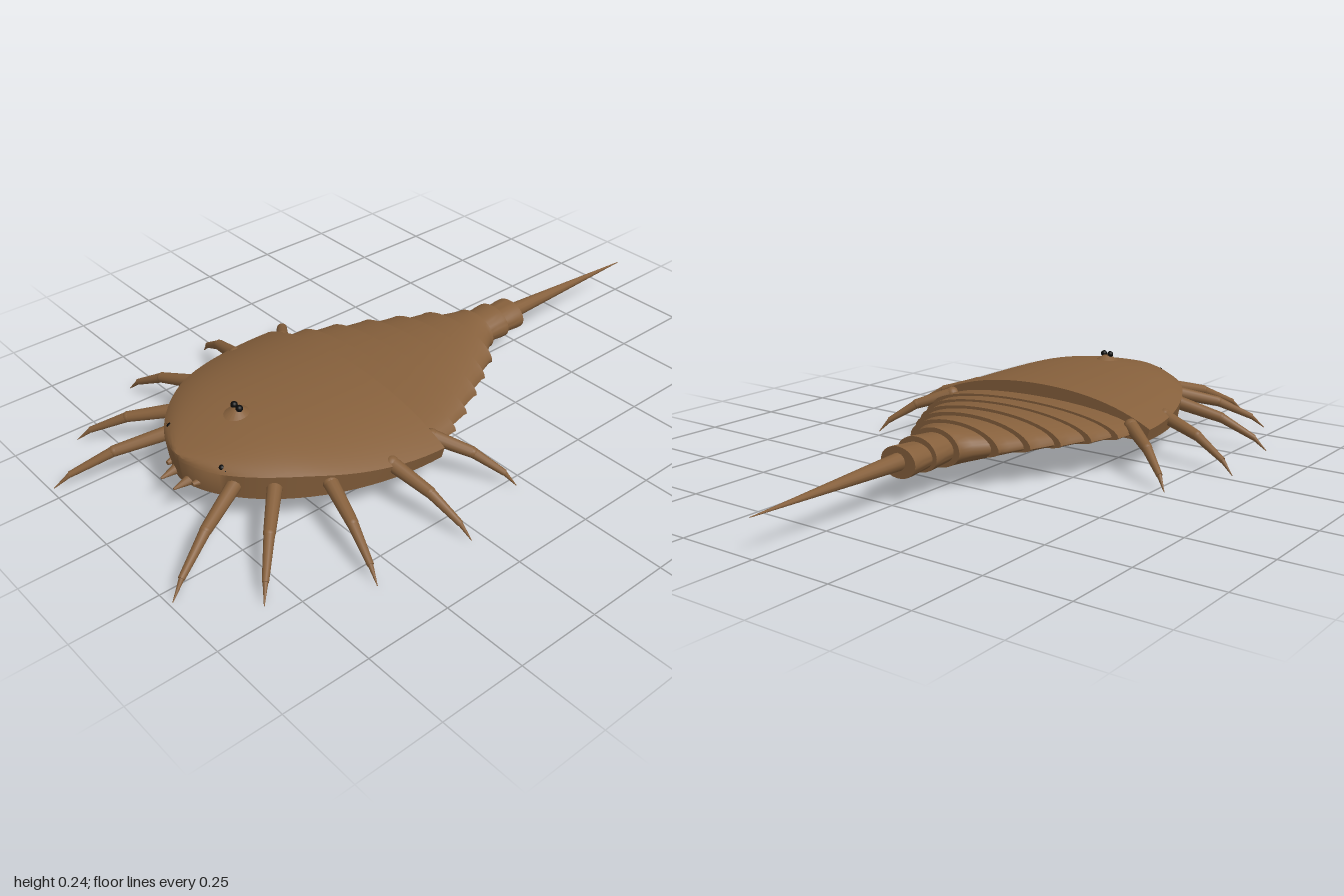
import * as THREE from 'three';
import { toCreasedNormals } from 'three/addons/utils/BufferGeometryUtils.js';

const shell = new THREE.MeshStandardMaterial({ color: 0x86603c });
shell.name = 'brown shell';
const eyeBlack = new THREE.MeshStandardMaterial({ color: 0x0a0a0a });
eyeBlack.name = 'eye black';

// Skin closed rings (anticlockwise seen from +z, ordered from back to front) and cap both ends
function loft(rings, crease = 0.7) {
  const n = rings[0].length, pos = [], index = [];
  rings.forEach(r => r.forEach(p => pos.push(...p)));
  for (let i = 0; i < rings.length - 1; i++) {
    for (let j = 0; j < n; j++) {
      const a = i * n + j, b = i * n + (j + 1) % n;
      index.push(a, b, a + n, b, b + n, a + n);
    }
  }
  [0, rings.length - 1].forEach(i => {
    const c = pos.length / 3;
    const mid = rings[i].reduce((m, p) => m.map((v, k) => v + p[k] / n), [0, 0, 0]);
    pos.push(...mid);
    for (let j = 0; j < n; j++) {
      const a = i * n + j, b = i * n + (j + 1) % n;
      if (i === 0) index.push(c, b, a); else index.push(c, a, b);
    }
  });
  const g = new THREE.BufferGeometry();
  g.setAttribute('position', new THREE.Float32BufferAttribute(pos, 3));
  g.setIndex(index);
  return toCreasedNormals(g, crease);
}

function add(parent, name, geometry, material = shell) {
  const m = new THREE.Mesh(geometry, material);
  m.name = name;
  parent.add(m);
  return m;
}

// Tapered round rod between two points
function rod(parent, name, a, b, ra, rb) {
  const A = new THREE.Vector3(...a), B = new THREE.Vector3(...b);
  const d = B.clone().sub(A);
  const m = add(parent, name, new THREE.CylinderGeometry(rb, ra, d.length(), 12));
  m.position.copy(A).addScaledVector(d, 0.5);
  m.quaternion.setFromUnitVectors(new THREE.Vector3(0, 1, 0), d.normalize());
  return m;
}

function ball(parent, name, p, r, material = shell, scale = [1, 1, 1]) {
  const m = add(parent, name, new THREE.SphereGeometry(r, 16, 12), material);
  m.position.set(...p);
  m.scale.set(...scale);
  return m;
}

// Domed shield with a flat underside and a low rim
function carapaceGeometry() {
  const rings = [], N = 32;
  for (let i = 0; i <= 28; i++) {
    const t = Math.sin((i / 28) * Math.PI / 2);
    const z = 0.18 + 0.59 * t;
    const w = Math.max(0.008, 0.395 * Math.pow(1 - t * t, 0.58));
    const f = Math.max(0, (z - 0.55) / 0.22);
    const ring = [];
    for (let j = 0; j <= N; j++) {
      const s = Math.cos(Math.PI * j / N), x = s * w;
      const y = 0.217 + 0.01 * Math.min(1, t * 1.8)
        - 0.06 * (x / 0.395) ** 2 - 0.04 * f ** 1.5 - 0.022 * s ** 4;
      ring.push([x, y, z]);
    }
    for (let j = 0; j <= 8; j++) ring.push([w * 0.97 * (j / 4 - 1), 0.097, z - 0.008 * t]);
    rings.push(ring);
  }
  return loft(rings);
}

// One tail ring: oval section, narrowing backwards with a small raised rear lip
function segmentGeometry(zf, zr, wf, wr, yc, up, down) {
  const section = (z, w, k) => Array.from({ length: 40 }, (_, j) => {
    const a = j / 40 * Math.PI * 2, s = Math.sin(a);
    return [w * Math.cos(a), yc + s * (s > 0 ? up : down) * k, z];
  });
  const mid = wf + (wr - wf) * 0.65;
  return loft([
    section(zr, wr, 1), section(zr + 0.012, wr, 1),
    section((zf + zr) / 2, mid, 0.94), section(zf + 0.012, wf, 0.86),
  ]);
}

export function createModel() {
  const model = new THREE.Group();
  model.name = 'armoured arthropod';
  add(model, 'carapace', carapaceGeometry());

  // Tail rings: front z, rear z, front half width, rear half width, centre y, height above, depth below
  const segments = [
    [0.18, 0.09, 0.355, 0.345, 0.12, 0.066, 0.022],
    [0.09, 0.01, 0.325, 0.305, 0.12, 0.068, 0.022],
    [0.01, -0.075, 0.285, 0.258, 0.12, 0.07, 0.022],
    [-0.075, -0.155, 0.24, 0.21, 0.12, 0.07, 0.024],
    [-0.155, -0.235, 0.192, 0.16, 0.12, 0.068, 0.028],
    [-0.235, -0.315, 0.142, 0.085, 0.125, 0.06, 0.053],
    [-0.315, -0.395, 0.064, 0.071, 0.125, 0.053, 0.048],
    [-0.395, -0.472, 0.055, 0.061, 0.123, 0.045, 0.045],
  ];
  const tail = new THREE.Group();
  tail.name = 'tail';
  model.add(tail);
  segments.forEach((s, i) => add(tail, 'tailRing' + (i + 1), segmentGeometry(...s)));
  rod(tail, 'tailSpike', [0, 0.125, -0.46], [0, 0.116, -1], 0.026, 0.001);

  // Belly plate and the mound carrying the middle eyes
  ball(model, 'bellyPlate', [0, 0.097, 0.33], 1, shell, [0.07, 0.033, 0.17]);
  const mound = add(model, 'eyeMound', new THREE.CylinderGeometry(0.01, 0.05, 0.026, 20));
  mound.position.set(0, 0.228, 0.57);

  // Legs: root x, root z, tip x, tip z
  const legs = [
    [0.15, 0.69, 0.295, 0.99], [0.225, 0.62, 0.452, 0.83], [0.31, 0.505, 0.58, 0.578],
    [0.355, 0.335, 0.612, 0.285], [0.335, 0.175, 0.53, 0.035],
  ];
  for (const side of [1, -1]) {
    const label = side > 0 ? 'left' : 'right';
    legs.forEach(([rx, rz, tx, tz], i) => {
      const leg = new THREE.Group();
      leg.name = label + 'Leg' + (i + 1);
      model.add(leg);
      const at = (t, y) => [side * (rx + (tx - rx) * t), y, rz + (tz - rz) * t];
      ball(leg, 'hip', at(0, 0.138), 0.022);
      rod(leg, 'upperLeg', at(0, 0.138), at(0.48, 0.103), 0.021, 0.016);
      ball(leg, 'knee', at(0.48, 0.103), 0.016);
      rod(leg, 'lowerLeg', at(0.48, 0.103), at(0.86, 0.048), 0.015, 0.009);
      rod(leg, 'claw', at(0.84, 0.052), at(1, 0.01), 0.008, 0.001);
      // Small mouth-side spines under the body
      rod(model, label + 'UnderSpine' + (i + 1), [side * rx * 0.68, 0.1, rz - 0.03],
        [side * rx * 0.62, 0.08, rz - 0.045], 0.015, 0.004);
    });
    // Front fangs
    rod(model, label + 'Fang', [side * 0.032, 0.115, 0.74], [side * 0.03, 0.105, 0.805], 0.019, 0.003);
    rod(model, label + 'Palp', [side * 0.065, 0.12, 0.72], [side * 0.06, 0.118, 0.765], 0.017, 0.006);
    // Eyes
    ball(model, label + 'MiddleEye', [side * 0.012, 0.244, 0.572], 0.01, eyeBlack);
    ball(model, label + 'SideEyeInner', [side * 0.122, 0.18, 0.71], 0.009, eyeBlack);
    ball(model, label + 'SideEyeOuter', [side * 0.136, 0.172, 0.706], 0.009, eyeBlack);
  }
  model.position.y = -0.009;
  const root = new THREE.Group();
  root.name = 'model';
  root.add(model);
  return root;
}
